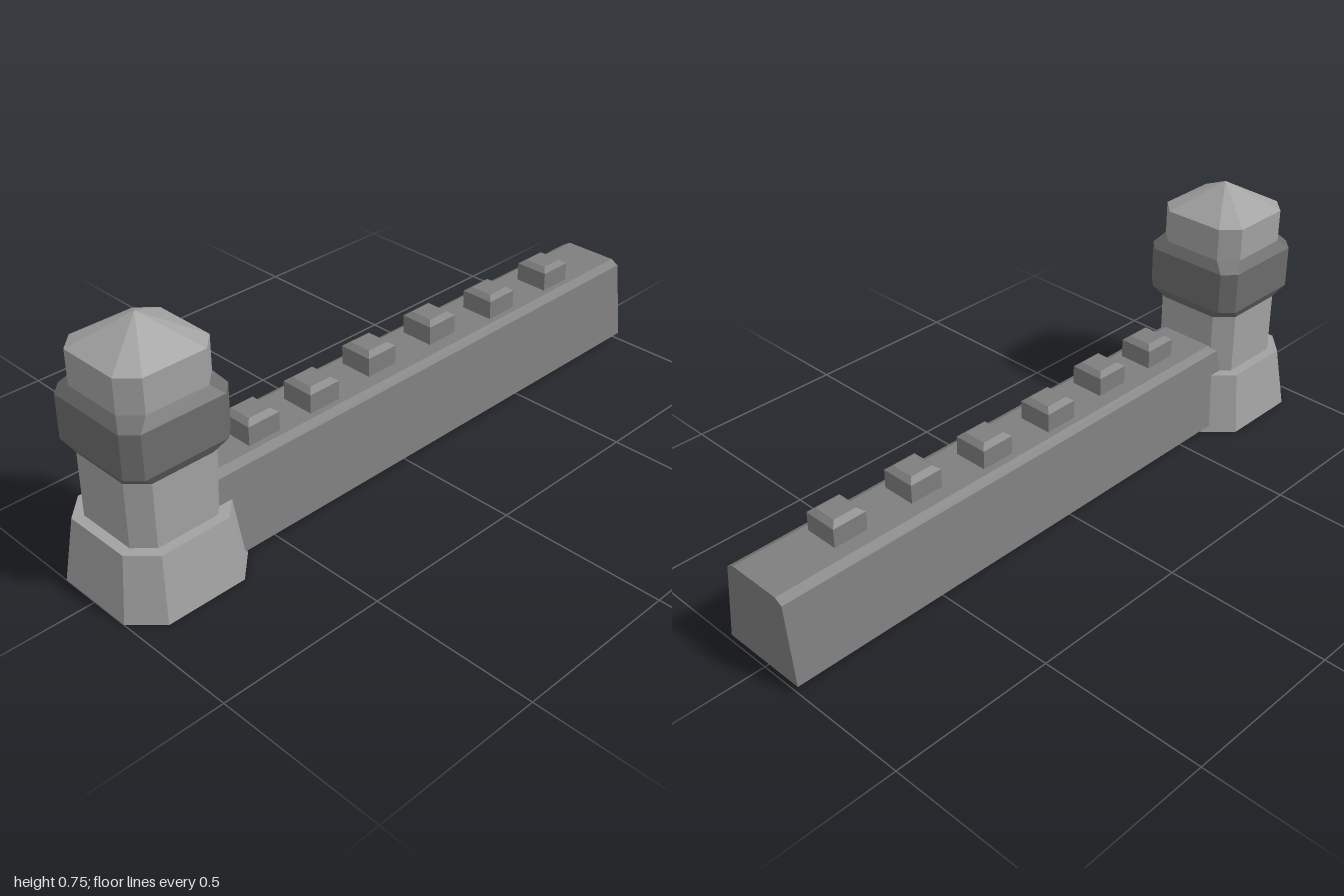
import * as THREE from 'three';

// Square of half-width h with cut corners; f is half the length of the flat side (counterclockwise from above).
function ring([y, h, f]) {
  return [[h, f], [h, -f], [f, -h], [-f, -h], [-h, -f], [-h, f], [-f, h], [f, h]]
    .map(([x, z]) => [x, y, z]);
}

// Stack cross-sections [y, halfWidth, halfFlat] into a closed solid.
function stack(sections) {
  const rings = sections.map(ring);
  const pos = [];
  const tri = (...corners) => corners.forEach((p) => pos.push(...p));
  for (let s = 0; s < rings.length - 1; s++) {
    const lo = rings[s], hi = rings[s + 1];
    for (let i = 0; i < 8; i++) {
      const j = (i + 1) % 8;
      tri(lo[i], lo[j], hi[j]);
      if (sections[s + 1][1] > 0) tri(lo[i], hi[j], hi[i]);
    }
  }
  const bottom = rings[0], top = rings[rings.length - 1];
  for (let i = 1; i < 7; i++) {
    tri(bottom[0], bottom[i + 1], bottom[i]);
    if (sections[sections.length - 1][1] > 0) tri(top[0], top[i], top[i + 1]);
  }
  const geo = new THREE.BufferGeometry();
  geo.setAttribute('position', new THREE.Float32BufferAttribute(pos, 3));
  geo.computeVertexNormals();
  return geo;
}

export function createModel() {
  const material = (name, color) => {
    const m = new THREE.MeshStandardMaterial({ color });
    m.name = name;
    return m;
  };
  const lightStone = material('light stone', 0xa2a2a2);
  const darkStone = material('dark stone', 0x6c6c6c);
  const wallStone = material('wall stone', 0x7e7e7e);

  const model = new THREE.Group();
  model.name = 'towerAndWall';
  const add = (parent, name, geo, mat) => {
    const mesh = new THREE.Mesh(geo, mat);
    mesh.name = name;
    parent.add(mesh);
    return mesh;
  };

  // Tower: tapered foot, shaft, overhanging band, upper storey and pointed roof
  const tower = new THREE.Group();
  tower.name = 'tower';
  tower.position.z = 0.8;
  model.add(tower);
  add(tower, 'foot', stack([[0, 0.2, 0.122], [0.19, 0.173, 0.106]]), lightStone);
  add(tower, 'shaft', stack([[0.18, 0.143, 0.094], [0.385, 0.143, 0.094]]), lightStone);
  add(tower, 'band', stack([
    [0.38, 0.143, 0.094], [0.415, 0.164, 0.127], [0.543, 0.164, 0.127], [0.572, 0.143, 0.094],
  ]), darkStone);
  add(tower, 'upperStorey', stack([[0.565, 0.143, 0.094], [0.672, 0.143, 0.094]]), lightStone);
  add(tower, 'roof', stack([[0.672, 0.143, 0.094], [0.755, 0, 0]]), lightStone);

  // Wall: tapered profile with bevelled top edges, running back from the tower
  const profile = new THREE.Shape([
    [-0.137, 0.022], [0.137, 0.022], [0.109, 0.262], [0.085, 0.276], [-0.085, 0.276], [-0.109, 0.262],
  ].map(([x, y]) => new THREE.Vector2(x, y)));
  const wallGeo = new THREE.ExtrudeGeometry(profile, { depth: 1.72, bevelEnabled: false });
  add(model, 'wall', wallGeo, wallStone).position.z = -1;

  // Battlements: bevelled blocks, slightly unevenly placed along the wall
  const block = stack([[0.27, 0.053, 0.053], [0.333, 0.053, 0.053], [0.346, 0.036, 0.036]]);
  const spots = [[0.013, 0.478], [0.013, 0.261], [-0.01, 0.018], [-0.01, -0.232], [0.013, -0.471], [0.013, -0.728]];
  spots.forEach(([x, z], i) => {
    add(model, `battlement${i + 1}`, block, wallStone).position.set(x, 0, z);
  });

  return model;
}
